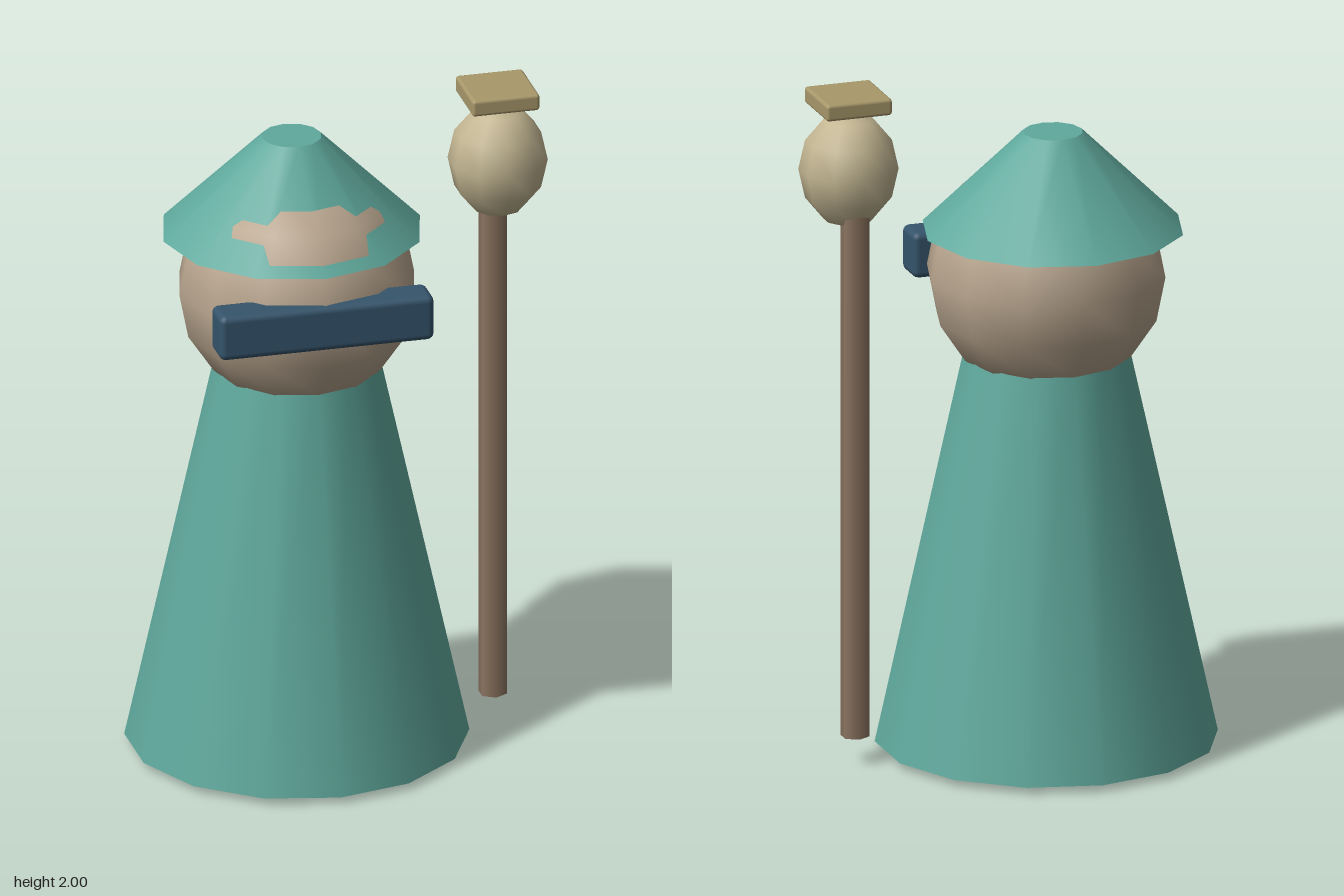
import * as THREE from 'three';
import { RoundedBoxGeometry } from 'three/addons/geometries/RoundedBoxGeometry.js';

const BODY_X = -0.12;
const STAFF_X = 0.46;

const paint = (color) => new THREE.MeshStandardMaterial({ color });
const teal = paint(0x5fa89c);
const skin = paint(0xb8a58e);
const navy = paint(0x35546b);
const wood = paint(0x8b7460);
const cream = paint(0xc3b692);
const brass = paint(0xa8986a);
const dark = paint(0x3a302c);

export function createModel() {
  const model = new THREE.Group();

  const add = (name, geometry, material, x, y, z) => {
    const mesh = new THREE.Mesh(geometry, material);
    mesh.name = name;
    mesh.position.set(x, y, z);
    model.add(mesh);
    return mesh;
  };
  // Upright tapered cylinder given by its bottom and top heights
  const cone = (name, rTop, rBottom, y0, y1, sides, material, x, z) =>
    add(name, new THREE.CylinderGeometry(rTop, rBottom, y1 - y0, sides), material, x, (y0 + y1) / 2, z);
  const block = (name, w, h, d, bevel, material, x, y, z) =>
    add(name, new RoundedBoxGeometry(w, h, d, 2, bevel), material, x, y, z);

  // Figure: robe, head, hat and visor
  cone('robe', 0.225, 0.495, 0.02, 1.25, 14, teal, BODY_X, -0.003);
  add('head', new THREE.SphereGeometry(0.348, 12, 8), skin, BODY_X, 1.42, -0.003);
  cone('hat', 0.087, 0.38, 1.567, 1.857, 12, teal, BODY_X, -0.061);
  block('visor', 0.636, 0.137, 0.112, 0.02, navy, BODY_X, 1.421, 0.292);

  // Feet just showing beneath the robe
  for (const [name, side] of [['leftFoot', 1], ['rightFoot', -1]]) {
    block(name, 0.22, 0.1, 0.34, 0.03, dark, BODY_X + side * 0.2, 0.05, -0.003);
  }

  // Staff with its orb and square cap
  cone('staff', 0.042, 0.042, 0.08, 1.68, 6, wood, STAFF_X, 0);
  const orb = add('orb', new THREE.SphereGeometry(0.144, 10, 6), cream, STAFF_X, 1.771, 0.056);
  orb.scale.y = 1.2;
  orb.rotation.y = Math.PI / 2;
  block('staffCap', 0.2, 0.05, 0.2, 0.01, brass, STAFF_X, 1.975, 0.056);

  return model;
}
